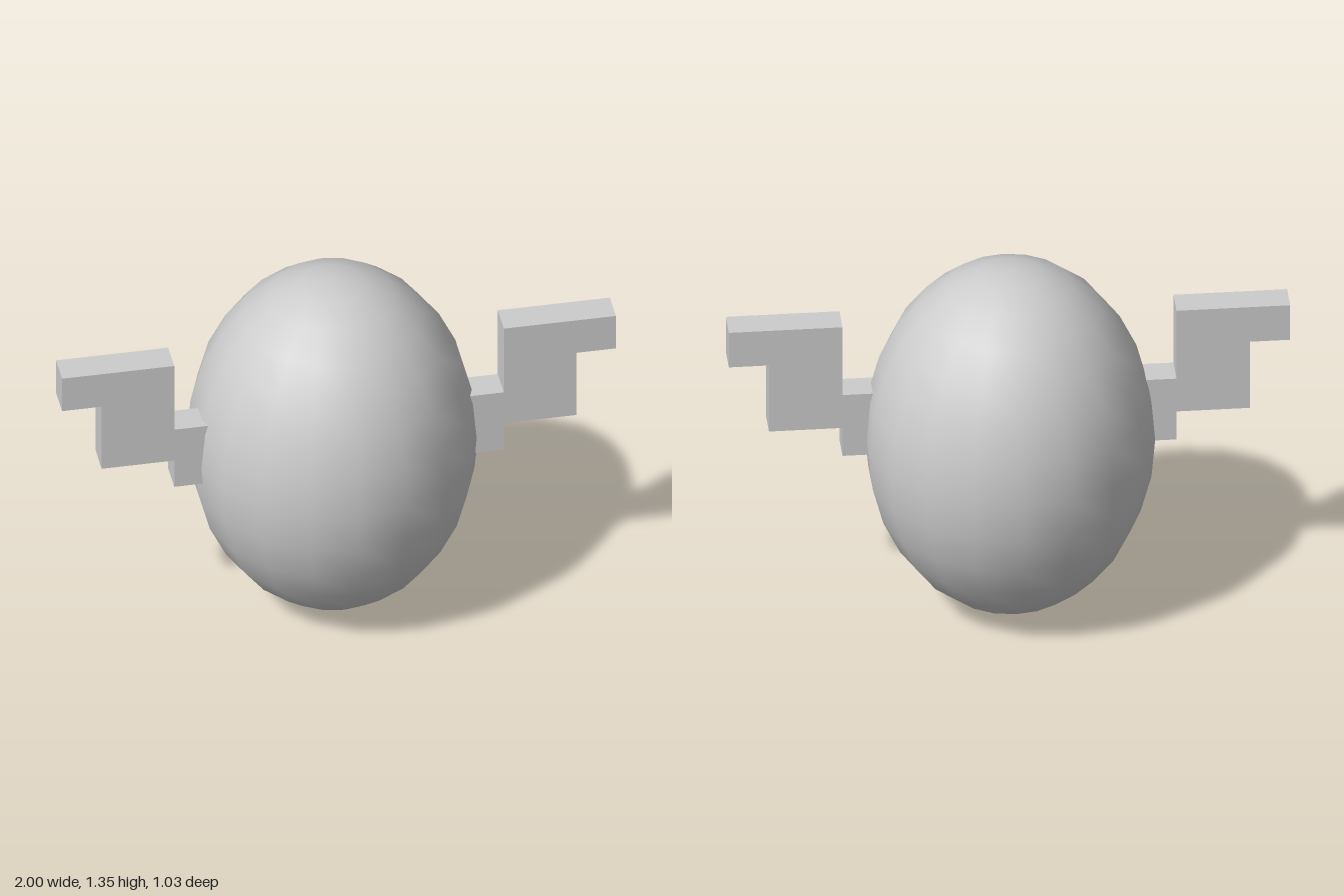
import * as THREE from 'three';

export function createModel() {
  const group = new THREE.Group();
  const grey = new THREE.MeshStandardMaterial({ color: 0xcccccc });
  grey.name = 'light grey';

  // Egg-shaped body: a stretched sphere with a vertex column at front and back
  const bodyGeometry = new THREE.SphereGeometry(0.517, 18, 14);
  bodyGeometry.rotateY(Math.PI / 2);
  bodyGeometry.scale(1, 0.677 / 0.517, 1);
  bodyGeometry.translate(0, 0.677, 0);
  const body = new THREE.Mesh(bodyGeometry, grey);
  body.name = 'body';
  group.add(body);

  // Stepped arms, mirrored left and right, with inner ends sunk into the body
  const outline = [
    [0.4, 0.615], [0.595, 0.615], [0.595, 0.73], [0.857, 0.73], [0.857, 1.002],
    [1, 1.002], [1, 1.144], [0.595, 1.144], [0.595, 0.865], [0.4, 0.865],
  ];
  for (const [side, name] of [[1, 'leftArm'], [-1, 'rightArm']]) {
    const shape = new THREE.Shape(outline.map(([x, y]) => new THREE.Vector2(side * x, y)));
    const geometry = new THREE.ExtrudeGeometry(shape, { depth: 0.113, bevelEnabled: false });
    geometry.translate(0, 0, 0.01);
    const arm = new THREE.Mesh(geometry, grey);
    arm.name = name;
    group.add(arm);
  }

  return group;
}
